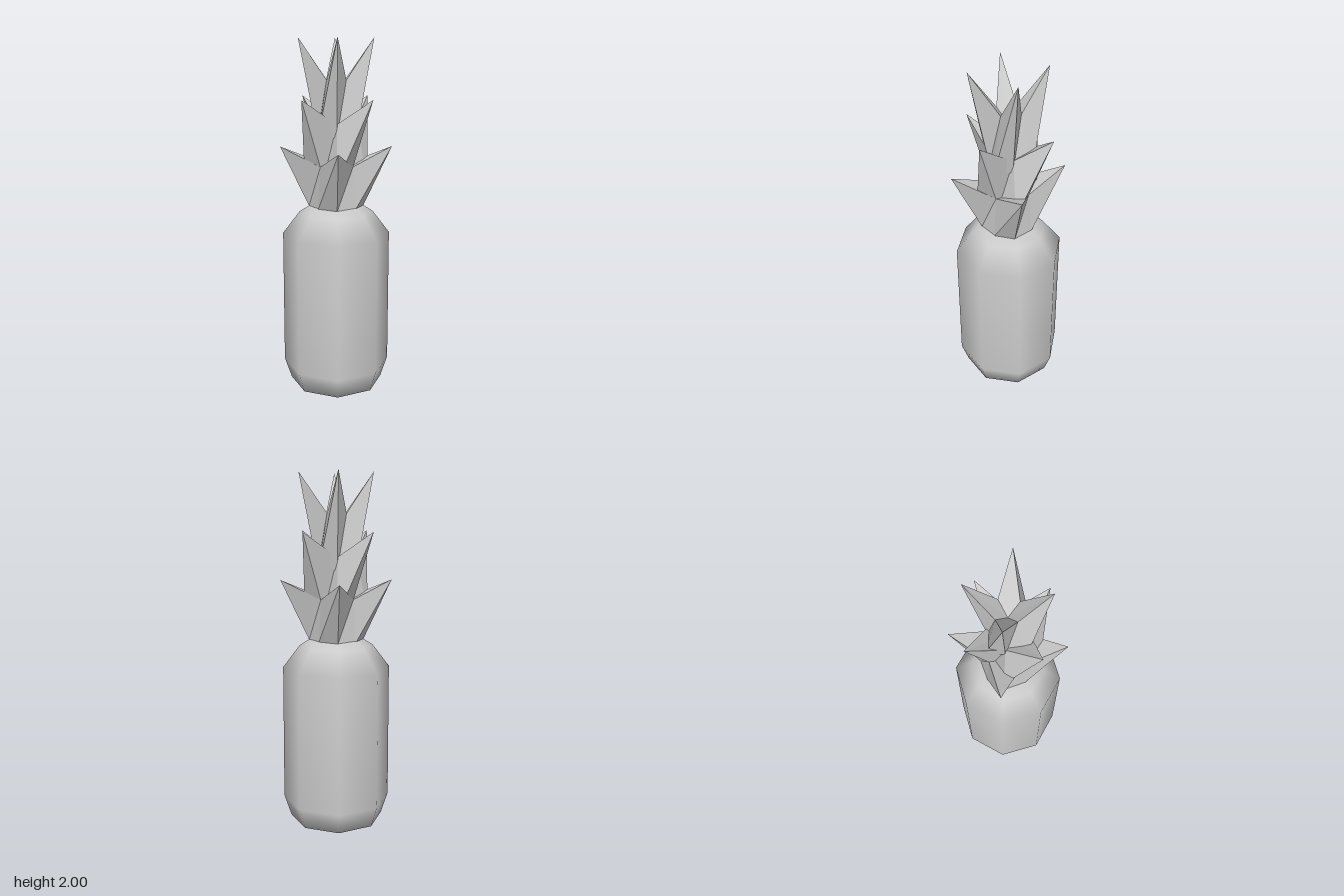
import * as THREE from 'three';

const material = new THREE.MeshStandardMaterial({ color: 0xcccccc });
const leafMaterial = new THREE.MeshStandardMaterial({ color: 0xcccccc, flatShading: true });

// One tier of the crown: an eight-sided ring whose top alternates leaf tips and valleys.
// Each ring entry is [radius, height]; the first leaf points at angle `turn`.
function leafTier({ turn, leafBase, gapBase, tip, valley, pit }) {
  const positions = [];
  const at = ([r, y], i) => {
    const a = turn + i * Math.PI / 4;
    return [r * Math.sin(a), y, r * Math.cos(a)];
  };
  const bottom = (i) => at(i % 2 ? gapBase : leafBase, i);
  const top = (i) => at(i % 2 ? valley : tip, i);
  const center = [0, pit, 0], under = [0, leafBase[1], 0];
  for (let i = 0; i < 8; i++) {
    positions.push(
      ...bottom(i), ...bottom(i + 1), ...top(i + 1), // wall
      ...bottom(i), ...top(i + 1), ...top(i),
      ...top(i), ...top(i + 1), ...center, // inside of the leaves
      ...bottom(i + 1), ...bottom(i), ...under, // underside
    );
  }
  const geometry = new THREE.BufferGeometry();
  geometry.setAttribute('position', new THREE.Float32BufferAttribute(positions, 3));
  geometry.computeVertexNormals();
  return geometry;
}

export function createModel() {
  const model = new THREE.Group();
  model.name = 'pineapple';

  // Eight-sided fruit with smooth shading
  const profile = [
    [0, 0], [0.13, 0.005], [0.265, 0.04], [0.304, 0.16],
    [0.3, 0.93], [0.205, 1.055], [0.14, 1.095], [0, 1.095],
  ].map(([r, y]) => new THREE.Vector2(r, y));
  const fruit = new THREE.Mesh(new THREE.LatheGeometry(profile, 8), material);
  fruit.name = 'fruitBody';
  model.add(fruit);

  // Crown: three tiers, each turned by an eighth of a circle
  const eighth = Math.PI / 4;
  const tiers = {
    lowerLeaves: {
      turn: eighth, leafBase: [0.152, 1.085], gapBase: [0.145, 1.085],
      tip: [0.308, 1.42], valley: [0.125, 1.32], pit: 1.28,
    },
    middleLeaves: {
      turn: 0, leafBase: [0.1, 1.25], gapBase: [0.175, 1.25],
      tip: [0.262, 1.685], valley: [0.105, 1.55], pit: 1.49,
    },
    upperLeaves: {
      turn: eighth, leafBase: [0.103, 1.48], gapBase: [0.143, 1.48],
      tip: [0.203, 2], valley: [0.074, 1.78], pit: 1.7,
    },
  };
  const crown = new THREE.Group();
  crown.name = 'crown';
  for (const [name, spec] of Object.entries(tiers)) {
    const tier = new THREE.Mesh(leafTier(spec), leafMaterial);
    tier.name = name;
    crown.add(tier);
  }
  model.add(crown);
  return model;
}
